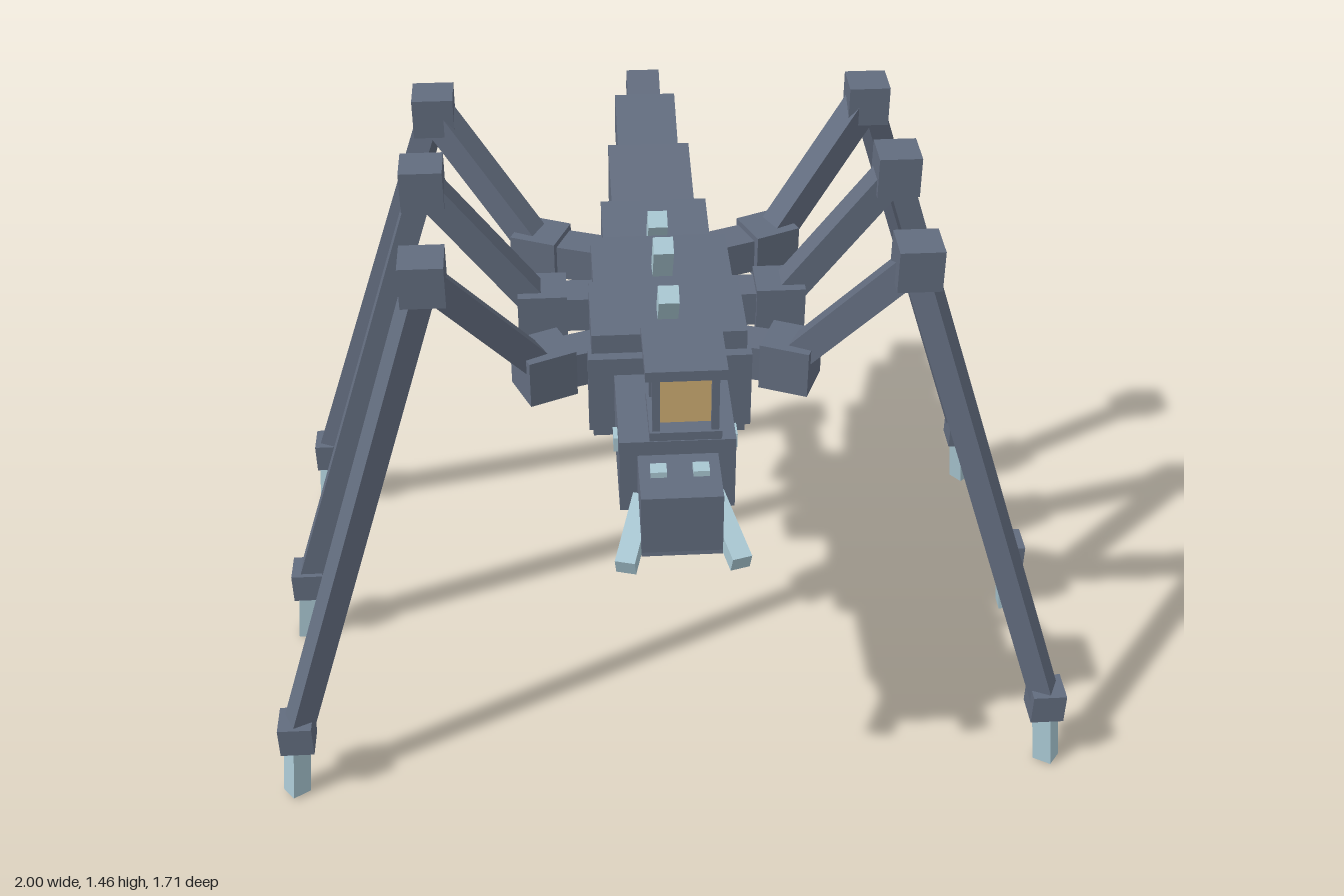
import * as THREE from 'three';

export function createModel() {
  const model = new THREE.Group();
  const slate = new THREE.MeshStandardMaterial({ name: 'slate', color: 0x626c7e });
  const paleBlue = new THREE.MeshStandardMaterial({ name: 'paleBlue', color: 0xa8c6d1 });
  const amber = new THREE.MeshStandardMaterial({ name: 'amber', color: 0xcbab72 });

  // Box by size and centre, with optional pitch and yaw
  function box(name, size, pos, mat = slate, pitch = 0, yaw = 0, parent = model) {
    const mesh = new THREE.Mesh(new THREE.BoxGeometry(...size), mat);
    mesh.name = name;
    mesh.position.set(...pos);
    mesh.rotation.set(pitch, yaw, 0);
    parent.add(mesh);
    return mesh;
  }

  // Square bar running from point a to point b
  function beam(name, a, b, w, h, mat = slate, parent = model) {
    const p = new THREE.Vector3(...a), q = new THREE.Vector3(...b);
    const mesh = new THREE.Mesh(new THREE.BoxGeometry(w, h, p.distanceTo(q)), mat);
    mesh.name = name;
    mesh.position.copy(p).add(q).multiplyScalar(0.5);
    mesh.lookAt(q);
    parent.add(mesh);
    return mesh;
  }

  // Body
  box('collar', [0.38, 0.2, 0.045], [0, 1.035, 0.338]);
  box('frontThorax', [0.36, 0.285, 0.23], [0, 1.042, 0.22]);
  box('rearThorax', [0.336, 0.27, 0.235], [0, 1.035, -0.005]);

  // Tail segments, rising towards the tip
  [
    [0.27, 0.217, 0.25, 1.027, -0.22, 0.17],
    [0.213, 0.185, 0.25, 1.08, -0.442, 0.255],
    [0.16, 0.133, 0.22, 1.152, -0.642, 0.44],
    [0.088, 0.077, 0.15, 1.21, -0.77, 0.53],
  ].forEach(([w, h, d, y, z, pitch], i) => box('tailSegment' + (i + 1), [w, h, d], [0, y, z], slate, pitch));

  // Head, snout and jaw
  box('head', [0.26, 0.19, 0.27], [0, 0.995, 0.485]);
  box('snout', [0.18, 0.15, 0.2], [0, 0.978, 0.675]);
  box('jaw', [0.18, 0.06, 0.265], [0, 0.9, 0.637], slate, -0.15);
  for (const s of [1, -1]) {
    box('sideEye', [0.02, 0.037, 0.042], [s * 0.13, 1.033, 0.53], paleBlue);
    box('topEye', [0.036, 0.025, 0.034], [s * 0.047, 1.055, 0.685], paleBlue);
    beam('mandible', [s * 0.078, 0.95, 0.645], [s * 0.127, 0.896, 0.815], 0.045, 0.042, paleBlue);
  }

  // Back spines leaning forward
  [
    [1.13, 0.215, 1.268, 0.3],
    [1.14, 0.022, 1.279, 0.104],
    [1.1, -0.2, 1.216, -0.124],
  ].forEach(([y0, z0, y1, z1]) => beam('backSpine', [0, y0, z0], [0, y1, z1], 0.048, 0.046, paleBlue));

  // Lantern on a bent arm
  beam('lanternArmLower', [0, 1.06, 0.478], [0, 1.342, 0.568], 0.037, 0.035);
  beam('lanternArmUpper', [0, 1.325, 0.555], [0, 1.412, 0.73], 0.034, 0.032);
  const lantern = new THREE.Group();
  lantern.name = 'lantern';
  lantern.position.set(0, 0, 0.773);
  model.add(lantern);
  box('lanternRoof', [0.168, 0.024, 0.168], [0, 1.432, 0], slate, 0, 0, lantern);
  box('lanternBase', [0.15, 0.02, 0.15], [0, 1.275, 0], slate, 0, 0, lantern);
  box('lanternGlow', [0.112, 0.108, 0.112], [0, 1.352, 0], amber, 0, 0, lantern);
  for (const x of [-0.061, 0.061]) for (const z of [-0.061, 0.061]) {
    box('lanternPost', [0.016, 0.15, 0.016], [x, 1.353, z], slate, 0, 0, lantern);
  }

  // Six legs: row 1 is front, 0 middle, -1 rear
  for (const s of [1, -1]) for (const row of [1, 0, -1]) {
    const leg = new THREE.Group();
    leg.name = (s > 0 ? 'left' : 'right') + ['Rear', 'Middle', 'Front'][row + 1] + 'Leg';
    model.add(leg);
    const mid = row === 0;
    const root = [s * 0.11, 1.05, row * 0.2];
    const hip = [s * 0.292, 1.052, row * 0.262];
    const knee = [s * (mid ? 0.563 : 0.549), mid ? 1.41 : 1.395, row * 0.392];
    const ankle = [s * (mid ? 0.953 : 0.936), 0.197, row * 0.573];
    const tip = [s * (mid ? 0.974 : 0.955), 0.006, row * 0.588];
    beam('coxa', root, hip, 0.09, 0.09, slate, leg);
    box('hipJoint', [0.12, 0.12, 0.115], hip, slate, 0, -s * row * 0.4, leg);
    beam('upperLeg', hip, knee, 0.068, 0.068, slate, leg);
    box('knee', [0.102, 0.102, 0.102], knee, slate, 0, 0, leg);
    beam('lowerLeg', knee, ankle, 0.058, 0.058, slate, leg);
    box('ankle', [0.083, 0.083, 0.083], ankle, slate, 0, 0, leg);
    beam('claw', ankle, tip, 0.045, 0.05, paleBlue, leg);
  }

  return model;
}
